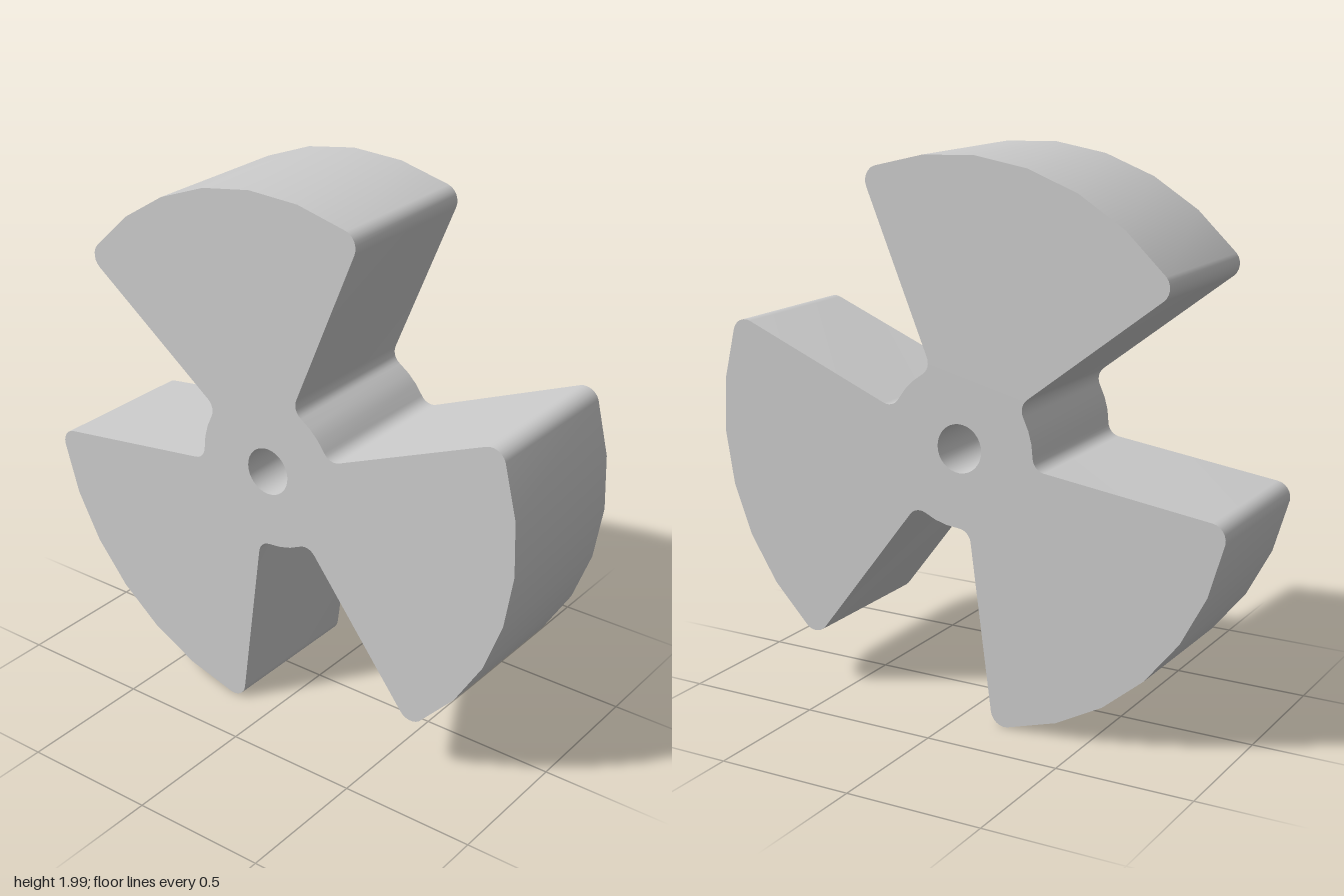
import * as THREE from 'three';
import { toCreasedNormals } from 'three/addons/utils/BufferGeometryUtils.js';

const R = 1.006;      // blade tip radius
const HUB = 0.286;    // hub radius
const BORE = 0.087;   // shaft hole radius
const TIP = 0.055;    // rounding of the blade tips
const ROOT = 0.05;    // fillet between blade and hub
const DEPTH = 0.576;
const rad = THREE.MathUtils.degToRad;

// Adds points along an arc whose centre is given in polar form.
function addArc(points, centreR, centreA, radius, from, to, steps) {
  const cx = centreR * Math.cos(centreA), cy = centreR * Math.sin(centreA);
  for (let i = 0; i <= steps; i++) {
    const a = from + (to - from) * i / steps;
    const p = new THREE.Vector2(cx + radius * Math.cos(a), cy + radius * Math.sin(a));
    const last = points[points.length - 1];
    if (!last || last.distanceTo(p) > 1e-5) points.push(p);
  }
}

// Outline of three radial blades joined by the hub.
function rotorShape() {
  const points = [];
  const tip = Math.asin(TIP / (R - TIP));
  const root = Math.asin(ROOT / (HUB + ROOT));
  const q = Math.PI / 2;
  for (let i = 0; i < 3; i++) {
    const a = rad(-52.5 + 120 * i);   // blade start
    const b = a + rad(75);            // blade end
    const c = a + rad(120);           // next blade start
    addArc(points, R - TIP, a + tip, TIP, a - q, a + tip, 6);
    addArc(points, 0, 0, R, a + tip, b - tip, 6);
    addArc(points, R - TIP, b - tip, TIP, b - tip, b + q, 6);
    addArc(points, HUB + ROOT, b + root, ROOT, b - q, b + root - 2 * q, 6);
    addArc(points, 0, 0, HUB, b + root, c - root, 3);
    addArc(points, HUB + ROOT, c - root, ROOT, c - root + 2 * q, c + q, 6);
  }
  const shape = new THREE.Shape(points);

  // Shaft hole
  const hole = [];
  addArc(hole, 0, 0, BORE, 0, -2 * Math.PI * 31 / 32, 31);
  shape.holes.push(new THREE.Path(hole));
  return shape;
}

export function createModel() {
  const group = new THREE.Group();
  group.name = 'threeBladeRotor';

  const extruded = new THREE.ExtrudeGeometry(rotorShape(), { depth: DEPTH, bevelEnabled: false });
  extruded.translate(-0.006, 0.994, -DEPTH / 2);
  const rotor = new THREE.Mesh(
    toCreasedNormals(extruded, rad(35)),
    new THREE.MeshStandardMaterial({ color: 0xcccccc })
  );
  rotor.name = 'rotor';
  group.add(rotor);
  return group;
}
